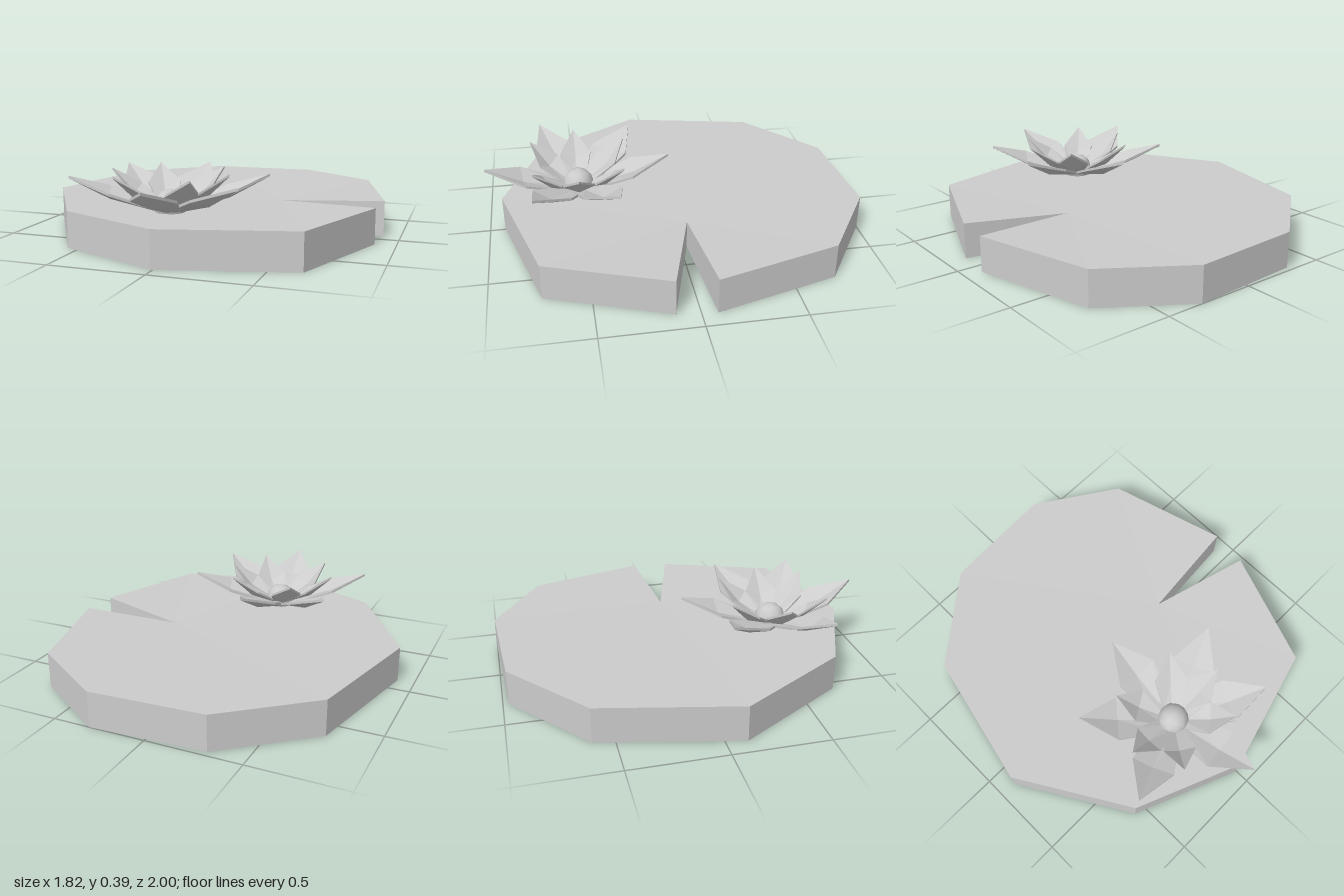
import * as THREE from 'three';

// Flat-faced geometry from a few points and triangles
function facets(points, faces) {
  const g = new THREE.BufferGeometry();
  g.setAttribute('position', new THREE.Float32BufferAttribute(faces.flat().flatMap(i => points[i]), 3));
  g.computeVertexNormals();
  return g;
}

// Closed slab: top triangles over matching bottom points, walled along the rim loop
function slab(top, bottom, topFaces, rim) {
  const n = top.length;
  const faces = [...topFaces, ...topFaces.map(([a, b, c]) => [a + n, c + n, b + n])];
  rim.forEach((a, i) => {
    const b = rim[(i + 1) % rim.length];
    faces.push([a + n, b + n, b], [a + n, b, a]);
  });
  return facets([...top, ...bottom], faces);
}

// Leaf with a notch; the first point is the inner corner, where the leaf is thinner
function padGeometry() {
  const outline = [
    [0.36, -0.03], [0.91, -0.08], [0.73, -0.72], [0.3, -1], [-0.31, -0.97], [-0.75, -0.61],
    [-0.91, 0.11], [-0.56, 0.69], [-0.01, 0.92], [0.66, 0.74], [0.89, 0.12],
  ];
  const top = outline.map(([x, z], i) => [x, i ? 0.19 : 0.17, z]);
  const bottom = outline.map(([x, z], i) => [x, i ? 0 : 0.02, z]);
  const fan = [];
  for (let i = 1; i < outline.length - 1; i++) fan.push([0, i, i + 1]);
  return slab(top, bottom, fan, outline.map((_, i) => i));
}

// Pointed petal along +x, folded along its middle: base, shoulder, tip
function petalGeometry({ base, shoulder, tip, thick }) {
  const row = ({ r, w, mid, edge }) => [[r, edge, -w], [r, mid, 0], [r, edge, w]];
  const top = [...row(base), ...row(shoulder), [tip.r, tip.y, 0]];
  const bottom = top.map(([x, y, z]) => [x, y - thick, z]);
  const faces = [[0, 1, 4], [0, 4, 3], [1, 2, 5], [1, 5, 4], [3, 4, 6], [4, 5, 6]];
  return slab(top, bottom, faces, [0, 1, 2, 5, 6, 3]);
}

export function createModel() {
  const model = new THREE.Group();
  model.name = 'waterLily';
  const grey = new THREE.MeshStandardMaterial({ color: 0xcccccc });
  grey.name = 'lightGrey';

  const add = (parent, geometry, name) => {
    const mesh = new THREE.Mesh(geometry, grey);
    mesh.name = name;
    parent.add(mesh);
    return mesh;
  };

  add(model, padGeometry(), 'lilyPad');

  const flower = new THREE.Group();
  flower.name = 'flower';
  flower.position.set(-0.08, 0, 0.5);
  model.add(flower);

  // Two rings of petals, each aimed at its tip offset [x, z]
  const rings = [
    {
      name: 'outerPetal',
      shape: {
        base: { r: 0.06, w: 0.07, mid: 0.2, edge: 0.21 },
        shoulder: { r: 0.3, w: 0.115, mid: 0.265, edge: 0.3 },
        tip: { r: 0.5, y: 0.37 }, thick: 0.014,
      },
      tips: [[0.04, -0.5], [0.46, -0.19], [0.43, 0.25], [0.06, 0.49], [-0.46, 0.19], [-0.38, -0.33]],
    },
    {
      name: 'innerPetal',
      shape: {
        base: { r: 0.04, w: 0.045, mid: 0.205, edge: 0.215 },
        shoulder: { r: 0.19, w: 0.085, mid: 0.27, edge: 0.305 },
        tip: { r: 0.315, y: 0.39 }, thick: 0.012,
      },
      tips: [[0.21, -0.24], [0.31, 0.01], [0.2, 0.25], [-0.19, 0.245], [-0.31, 0], [-0.16, -0.27]],
    },
  ];
  for (const { name, shape, tips } of rings) {
    const geometry = petalGeometry(shape);
    tips.forEach(([x, z], i) => {
      add(flower, geometry, name + (i + 1)).rotation.y = Math.atan2(-z, x);
    });
  }

  // Faceted seed head
  add(flower, new THREE.IcosahedronGeometry(0.085, 1), 'flowerCentre').position.y = 0.215;

  return model;
}
